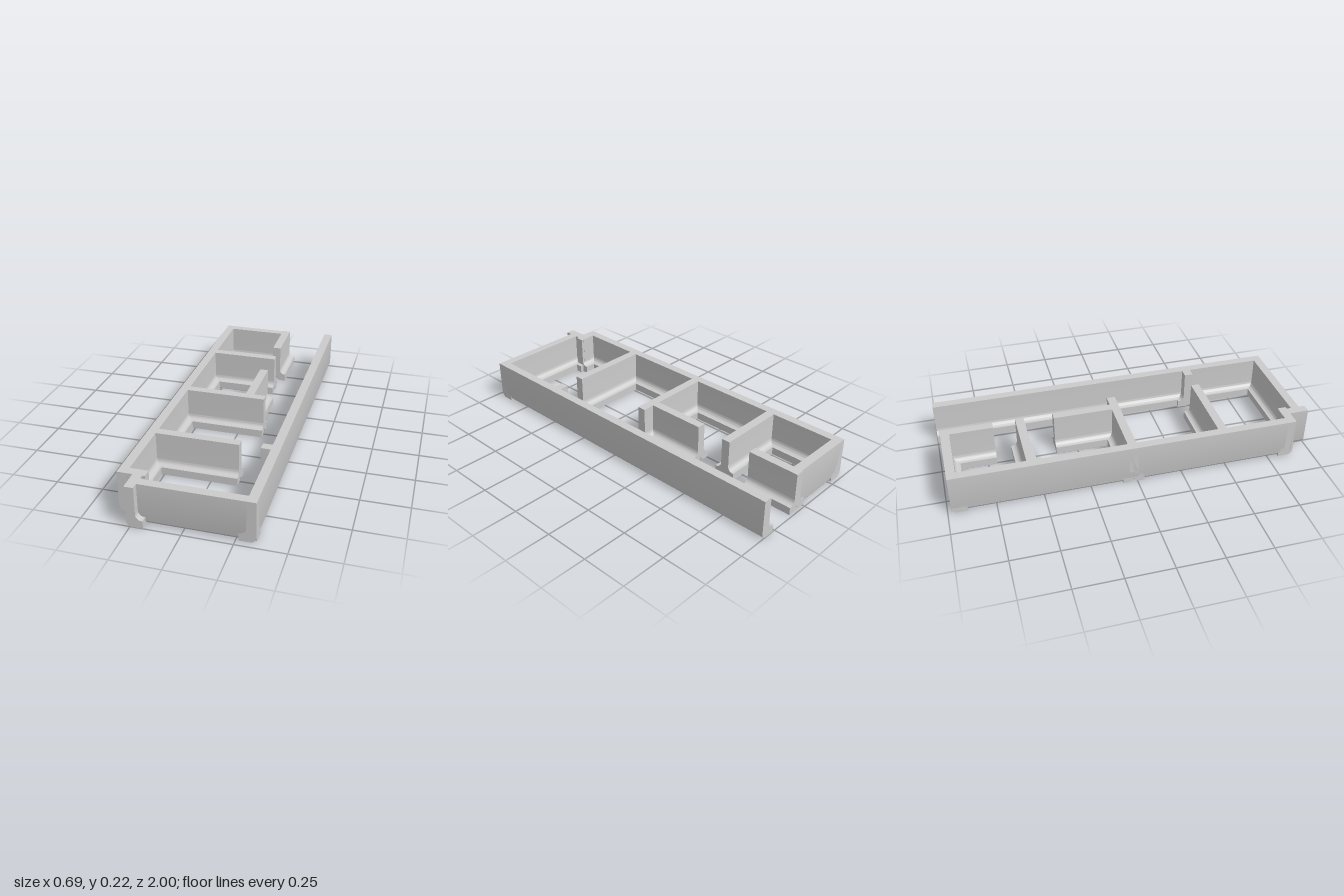
import * as THREE from 'three';
import { toCreasedNormals } from 'three/addons/utils/BufferGeometryUtils.js';

const H = 0.22;        // wall height
const T = 0.047;       // wall thickness
const FOOT = 0.082;    // outer face to toe of the foot
const FOOT_TOP = 0.042;
const R = 0.03;        // cove and underside radius

const material = new THREE.MeshStandardMaterial({ color: 0xcccccc });

// Outer wall section: straight outer face, rounded underside, coved foot on +x
function edgeProfile() {
  const s = new THREE.Shape();
  s.moveTo(R, 0);
  s.lineTo(FOOT, 0);
  s.lineTo(FOOT, FOOT_TOP);
  s.absarc(T + R, FOOT_TOP + R, R, -Math.PI / 2, -Math.PI, true);
  s.lineTo(T, H);
  s.lineTo(0, H);
  s.lineTo(0, R);
  s.absarc(R, R, R, Math.PI, Math.PI * 1.5, false);
  return s;
}

// Partition section: coved foot on both sides, grooved underside
function partitionProfile() {
  const h = T / 2, toe = 0.058;
  const s = new THREE.Shape();
  s.moveTo(R, 0);
  s.lineTo(toe, 0);
  s.lineTo(toe, FOOT_TOP);
  s.absarc(h + R, FOOT_TOP + R, R, -Math.PI / 2, -Math.PI, true);
  s.lineTo(h, H);
  s.lineTo(-h, H);
  s.lineTo(-h, FOOT_TOP + R);
  s.absarc(-h - R, FOOT_TOP + R, R, 0, -Math.PI / 2, true);
  s.lineTo(-toe, FOOT_TOP);
  s.lineTo(-toe, 0);
  s.lineTo(-R, 0);
  s.absarc(-R, R, R, -Math.PI / 2, 0, false);
  s.absarc(R, R, R, Math.PI, Math.PI * 1.5, false);
  return s;
}

// Direction the foot points, as a turn about y
const TURN = { '+x': 0, '-x': Math.PI, '+z': -Math.PI / 2, '-z': Math.PI / 2 };

// Extrude a section from a to b; 'at' is the fixed coordinate across the wall
function wall(name, shape, facing, at, a, b) {
  const length = b - a, mid = (a + b) / 2;
  let geo = new THREE.ExtrudeGeometry(shape, { depth: length, bevelEnabled: false, curveSegments: 10 });
  geo.translate(0, 0, -length / 2);
  geo = toCreasedNormals(geo, 0.5);
  const mesh = new THREE.Mesh(geo, material);
  mesh.name = name;
  mesh.rotation.y = TURN[facing];
  if (facing.endsWith('x')) mesh.position.set(at, 0, mid);
  else mesh.position.set(mid, 0, at);
  return mesh;
}

export function createModel() {
  const model = new THREE.Group();
  model.name = 'floorPlanWalls';
  const edge = edgeProfile(), part = partitionProfile();

  // Outer walls, feet pointing inward
  model.add(
    wall('longWallRight', edge, '+x', -0.347, -0.98, 0.893),
    wall('longWallLeft', edge, '-x', 0.347, -1, 0.965),
    wall('backWall', edge, '+z', -0.98, -0.347, 0.05),
    wall('frontWall', edge, '-z', 0.965, -0.225, 0.347),
  );

  // Stepped front corner and the short pier on the long wall
  model.add(
    wall('cornerStep', edge, '-z', 0.893, -0.347, -0.205),
    wall('cornerReturn', edge, '+x', -0.267, 0.845, 1),
    wall('wallPier', edge, '-z', 0.507, 0.25, 0.32),
  );

  // Cross partitions: [centre z, start x, end x]
  const cross = [[-0.552, -0.32, 0.075], [-0.02, -0.347, 0.14], [0.483, -0.32, 0.14]];
  cross.forEach(([z, a, b], i) => model.add(wall(`crossPartition${i + 1}`, part, '+z', z, a, b)));

  // Corridor partitions: [start z, end z]
  const corridor = [[-0.985, -0.7], [-0.37, -0.02]];
  corridor.forEach(([a, b], i) => model.add(wall(`corridorPartition${i + 1}`, part, '+x', 0.05, a, b)));

  return model;
}
